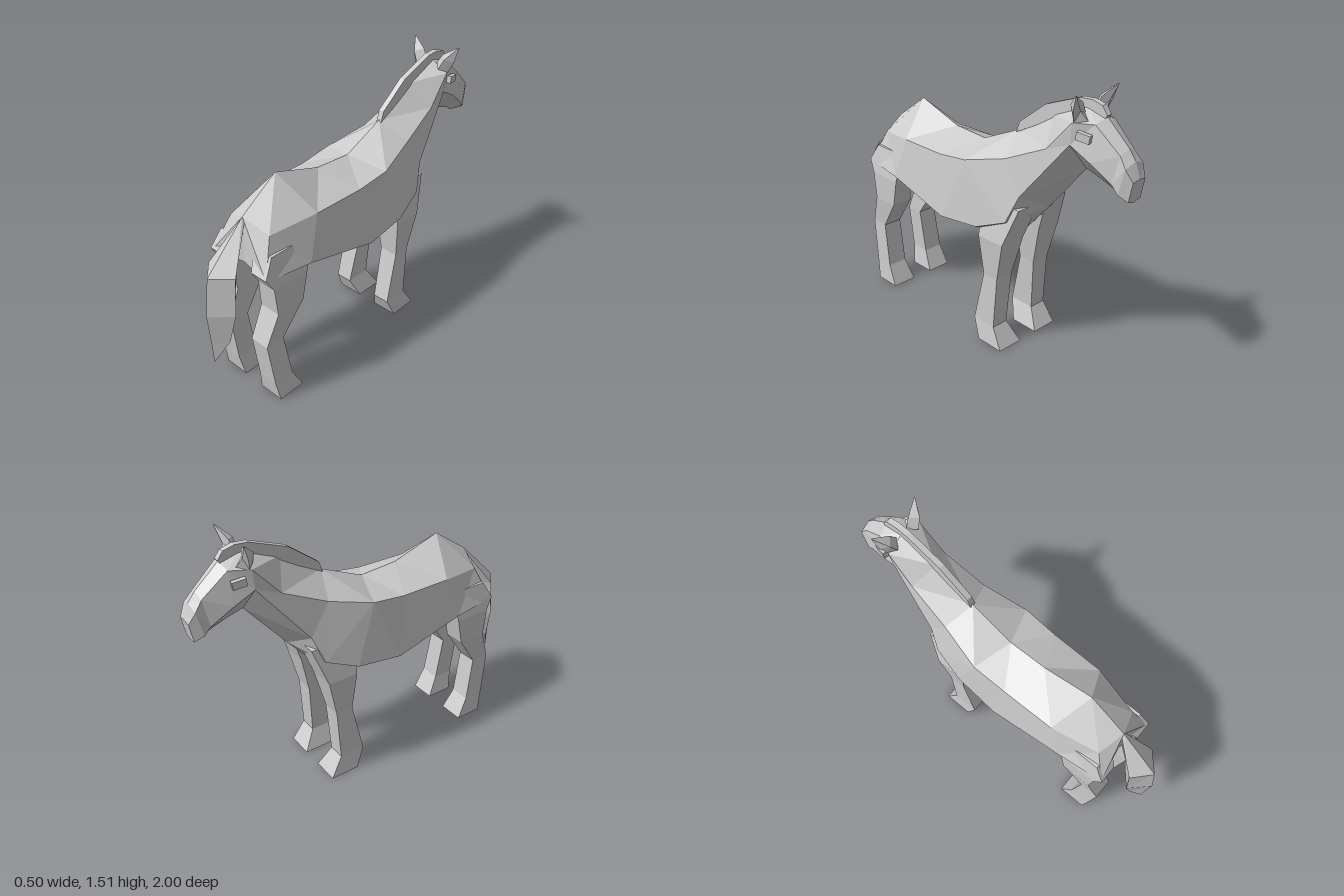
import * as THREE from 'three';

const material = new THREE.MeshStandardMaterial({ color: 0xcccccc, flatShading: true, side: THREE.DoubleSide });

// Skins closed rings of [x, y, z] points, caps both ends, splits quads on the shorter diagonal
function loft(rings) {
  const tris = [];
  const d = (a, b) => Math.hypot(a[0] - b[0], a[1] - b[1], a[2] - b[2]);
  const n = rings[0].length;
  for (let r = 0; r < rings.length - 1; r++) {
    for (let i = 0; i < n; i++) {
      const j = (i + 1) % n;
      const a = rings[r][i], b = rings[r][j], c = rings[r + 1][j], e = rings[r + 1][i];
      if (d(a, c) <= d(b, e) + 1e-6) tris.push([a, b, c], [a, c, e]);
      else tris.push([a, b, e], [b, c, e]);
    }
  }
  const last = rings[rings.length - 1];
  for (let i = 1; i < n - 1; i++) {
    tris.push([rings[0][0], rings[0][i + 1], rings[0][i]], [last[0], last[i], last[i + 1]]);
  }
  // turn every face outward using the sign of the enclosed volume
  const V = (p) => new THREE.Vector3(...p);
  const volume = tris.reduce((s, [a, b, c]) => s + V(a).dot(V(b).cross(V(c))), 0);
  const points = tris.flatMap(([a, b, c]) => (volume < 0 ? [a, c, b] : [a, b, c]));
  const geometry = new THREE.BufferGeometry();
  geometry.setAttribute('position', new THREE.Float32BufferAttribute(points.flat(), 3));
  geometry.computeVertexNormals();
  return geometry;
}

function part(name, geometry) {
  const mesh = new THREE.Mesh(geometry, material);
  mesh.name = name;
  return mesh;
}

// Half section (top centre, upper edge, lower edge, bottom centre) to a full ring
const mirrorRing = ([top, upper, lower, bottom]) => {
  const m = ([x, y, z]) => [-x, y, z];
  return [top, upper, lower, bottom, m(lower), m(upper)];
};

// Four-sided leg from rows of [y, inner x, outer x, front z, back z]
const leg = (rows, side) => loft(rows.map(([y, xi, xo, zf, zb]) => [
  [side * xo, y, zf], [side * xo, y, zb], [side * xi, y, zb], [side * xi, y, zf],
]));

export function createModel() {
  const model = new THREE.Group();
  model.name = 'horse';

  // Trunk and neck, from rump to poll
  const poll = [[0, 1.43, -0.69], [0.115, 1.37, -0.69], [0.11, 1.26, -0.68], [0, 1.12, -0.70]];
  const trunk = [
    [[0, 1.05, 0.73], [0.14, 0.985, 0.69], [0.2, 0.79, 0.78], [0, 0.79, 0.74]],
    [[0, 1.2, 0.51], [0.2, 1.015, 0.43], [0.23, 0.775, 0.51], [0, 0.69, 0.49]],
    [[0, 1.105, 0.22], [0.205, 1.015, 0.13], [0.25, 0.68, 0.08], [0, 0.585, 0.1]],
    [[0, 1.09, 0], [0.21, 1.04, -0.07], [0.235, 0.705, -0.18], [0, 0.6, -0.17]],
    [[0, 1.2, -0.25], [0.155, 1.1, -0.31], [0.2, 0.78, -0.36], [0, 0.68, -0.33]],
    [[0, 1.34, -0.48], [0.125, 1.21, -0.55], [0.165, 0.93, -0.42], [0, 0.84, -0.47]],
    poll,
  ];
  model.add(part('body', loft(trunk.map(mirrorRing))));

  // Head, from poll to muzzle
  const head = [
    poll,
    [[0, 1.4, -0.8], [0.07, 1.375, -0.79], [0.098, 1.2, -0.79], [0, 1.095, -0.79]],
    [[0, 1.285, -0.93], [0.055, 1.26, -0.925], [0.07, 1.12, -0.9], [0, 1.06, -0.885]],
    [[0, 1.235, -0.97], [0.065, 1.21, -0.965], [0.068, 1.08, -0.935], [0, 1.035, -0.915]],
    [[0, 1.16, -1], [0.045, 1.15, -0.997], [0.045, 1.05, -0.98], [0, 1.035, -0.975]],
  ];
  model.add(part('head', loft(head.map(mirrorRing))));

  // Legs, ears and eyes on both sides
  const frontRows = [
    [0.86, 0.03, 0.175, -0.43, -0.18], [0.65, 0.06, 0.215, -0.355, -0.18],
    [0.42, 0.085, 0.195, -0.3, -0.2], [0.115, 0.1, 0.2, -0.28, -0.13],
    [0, 0.06, 0.215, -0.35, -0.18],
  ];
  const rearRows = [
    [0.9, 0.06, 0.185, 0.5, 0.725], [0.8, 0.1, 0.205, 0.51, 0.785],
    [0.73, 0.1, 0.215, 0.525, 0.745], [0.57, 0.09, 0.215, 0.56, 0.73],
    [0.385, 0.08, 0.195, 0.69, 0.8], [0.12, 0.085, 0.205, 0.65, 0.77],
    [0, 0.065, 0.215, 0.59, 0.75],
  ];
  const earRings = [
    [[0.03, 1.4, -0.7], [0.075, 1.39, -0.66], [0.113, 1.37, -0.7], [0.07, 1.38, -0.75]],
    [[0.065, 1.46, -0.71], [0.105, 1.45, -0.67], [0.14, 1.43, -0.715], [0.1, 1.43, -0.725]],
    [[0.148, 1.512, -0.738], [0.152, 1.514, -0.736], [0.152, 1.51, -0.738], [0.15, 1.51, -0.74]],
  ];
  for (const [side, word] of [[1, 'left'], [-1, 'right']]) {
    model.add(part(word + 'FrontLeg', leg(frontRows, side)));
    model.add(part(word + 'RearLeg', leg(rearRows, side)));
    model.add(part(word + 'Ear', loft(earRings.map((r) => r.map(([x, y, z]) => [side * x, y, z])))));
    const eye = part(word + 'Eye', new THREE.BoxGeometry(0.025, 0.04, 0.07));
    eye.position.set(side * 0.104, 1.315, -0.755);
    eye.rotation.set(-0.15, side * 0.2, 0);
    model.add(eye);
  }

  // Tail: diamond sections of [y, half width, front z, side z, back z]
  const tailRows = [
    [1.05, 0.005, 0.7, 0.715, 0.73], [0.815, 0.1, 0.79, 0.88, 0.97],
    [0.6, 0.1, 0.815, 0.9, 1], [0.425, 0.06, 0.855, 0.92, 0.99], [0.3, 0.002, 0.983, 0.985, 0.987],
  ];
  model.add(part('tail', loft(tailRows.map(([y, w, zf, zs, zb]) => [
    [0, y, zf], [w, y, zs], [0, y, zb], [-w, y, zs],
  ]))));

  // Mane: thin crest along the neck, ending in a forelock
  const outline = [
    [0.25, 1.19], [0.27, 1.25], [0.44, 1.38], [0.65, 1.46], [0.72, 1.465],
    [0.78, 1.45], [0.81, 1.41], [0.79, 1.38], [0.68, 1.4], [0.46, 1.3],
  ];
  const shape = new THREE.Shape(outline.map(([x, y]) => new THREE.Vector2(x, y)));
  const mane = new THREE.ExtrudeGeometry(shape, { depth: 0.032, bevelEnabled: false });
  mane.translate(0, 0, -0.016).rotateY(Math.PI / 2);
  model.add(part('mane', mane));

  return model;
}
